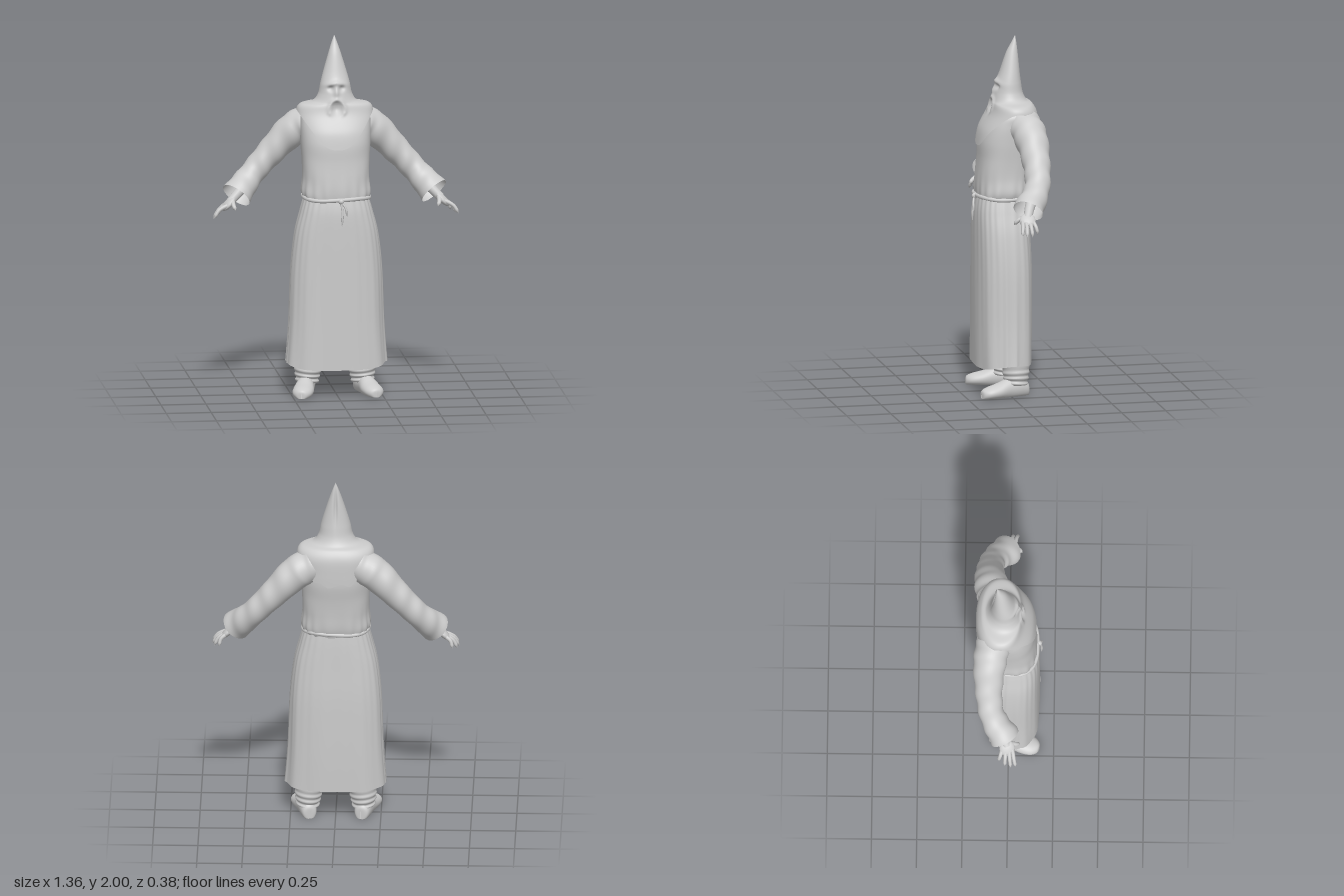
import * as THREE from 'three';
import { mergeVertices } from 'three/addons/utils/BufferGeometryUtils.js';

const material = new THREE.MeshStandardMaterial({ color: 0xcccccc, side: THREE.DoubleSide });
const TAU = Math.PI * 2;
const bump = (d, w) => Math.exp(-(d * d) / (w * w));
const V = (p) => new THREE.Vector3(...p);

function mesh(name, geometry) {
  const m = new THREE.Mesh(geometry, material);
  m.name = name;
  return m;
}

// Smooth grid surface: u runs around, v runs along; fn returns [x, y, z]
function surface(name, nu, nv, fn) {
  const pos = [], index = [];
  for (let j = 0; j <= nv; j++)
    for (let i = 0; i <= nu; i++) pos.push(...fn((i % nu) / nu, j / nv));
  for (let j = 0; j < nv; j++)
    for (let i = 0; i < nu; i++) {
      const a = j * (nu + 1) + i, b = a + nu + 1;
      index.push(a, a + 1, b + 1, a, b + 1, b);
    }
  let g = new THREE.BufferGeometry();
  g.setAttribute('position', new THREE.Float32BufferAttribute(pos, 3));
  g.setIndex(index);
  g = mergeVertices(g, 1e-5);
  g.computeVertexNormals();
  return mesh(name, g);
}

// Smooth interpolation through rows of numbers, t in 0..1
function sample(rows, t) {
  const n = rows.length - 1, f = Math.min(Math.max(t, 0), 1) * n;
  const i = Math.min(Math.floor(f), n - 1), k = f - i;
  const at = (q) => rows[Math.min(Math.max(q, 0), n)];
  return rows[0].map((_, c) => {
    const [a, b, d, e] = [at(i - 1)[c], at(i)[c], at(i + 1)[c], at(i + 2)[c]];
    return b + 0.5 * k * (d - a + k * (2 * a - 5 * b + 4 * d - e + k * (3 * (b - d) + e - a)));
  });
}

// Rounded cross-section of a row [y, halfWidth, front, back]
function section([y, hw, zf, zb], th, p = 2) {
  const s = Math.sin(th), c = Math.cos(th), e = 2 / p;
  return [hw * Math.sign(s) * Math.abs(s) ** e, y,
    (zf + zb) / 2 + ((zf - zb) / 2) * Math.sign(c) * Math.abs(c) ** e];
}

// Round limb along a path with changing radius and optional wrinkles
function limb(name, points, radii, nu, nv, wrinkle = () => 0) {
  const curve = new THREE.CatmullRomCurve3(points.map(V));
  const frames = curve.computeFrenetFrames(nv);
  const rows = radii.map((r) => [r]);
  return surface(name, nu, nv, (u, v) => {
    const j = Math.round(v * nv), a = u * TAU;
    const r = Math.max(sample(rows, v)[0], 0.0005) + wrinkle(a, v);
    return curve.getPoint(v)
      .addScaledVector(frames.normals[j], r * Math.cos(a))
      .addScaledVector(frames.binormals[j], r * Math.sin(a)).toArray();
  });
}

function makeSkirt() {
  const rows = [[0.165, 0.275, 0.17, -0.135], [0.4, 0.26, 0.17, -0.14], [0.7, 0.25, 0.17, -0.14],
    [0.9, 0.23, 0.17, -0.132], [1.03, 0.2, 0.167, -0.126], [1.11, 0.178, 0.155, -0.12]];
  return surface('skirt', 144, 50, (u, v) => {
    const th = u * TAU, [x, y, z] = section(sample(rows, v), th, 2.7);
    const side = Math.abs(Math.sin(th));
    // soft folds, gathers at the waist and a raised seam at each side
    const k = 1 + 0.012 * (1 - v) * Math.sin(th * 9 + v * 2) + 0.01 * v * Math.sin(th * 26)
      + 0.03 * bump(Math.acos(Math.min(side, 1)) - 0.1, 0.05) * (1 - v);
    const hem = (1 - v) ** 8 * (0.02 * side ** 4 - 0.01 * Math.cos(th));
    return [x * k, y + hem, z * k];
  });
}

function makeTorso() {
  const rows = [[1.09, 0.178, 0.152, -0.12], [1.14, 0.19, 0.158, -0.135], [1.22, 0.186, 0.152, -0.14],
    [1.32, 0.186, 0.145, -0.152], [1.42, 0.194, 0.138, -0.165], [1.52, 0.195, 0.11, -0.165],
    [1.58, 0.185, 0.07, -0.155], [1.61, 0.11, 0.05, -0.12]];
  return surface('tunic', 120, 50, (u, v) => {
    const th = u * TAU, [x, y, z] = section(sample(rows, v), th, 2.6);
    const k = 1 + 0.016 * bump(v - 0.1, 0.16) * Math.sin(th * 17 + Math.sin(th * 3))
      + 0.008 * Math.sin(v * 22 + 2 * Math.cos(th * 2)) * (1 - v);
    return [x * k, y, z * k];
  });
}

// Pointed hood flowing into a shoulder cape, with a draped face
function makeHood() {
  const rows = [[1.38, 0.2, 0.155, -0.18], [1.48, 0.208, 0.135, -0.182], [1.57, 0.215, 0.087, -0.178],
    [1.62, 0.195, 0.072, -0.155], [1.64, 0.125, 0.068, -0.125], [1.68, 0.095, 0.058, -0.105],
    [1.74, 0.082, 0.045, -0.095], [1.8, 0.066, 0.022, -0.088], [1.9, 0.036, -0.012, -0.08],
    [1.96, 0.016, -0.043, -0.074], [2, 0.0005, -0.064, -0.066]];
  return surface('hood', 120, 110, (u, v) => {
    const th = u * TAU, s = Math.abs(Math.sin(th)), c = Math.cos(th);
    // lower edge: pointed in front, raised on the shoulders, ragged behind
    const edge = c > 0 ? 0.015 + 0.215 * s ** 1.7
      : 0.05 + 0.18 * s ** 3 + 0.012 * Math.sin(th * 14) * (1 - s);
    const t = edge + (1 - edge) * v;
    let [x, y, z] = section(sample(rows, t), th, 2 + 0.6 * Math.max(0, 1 - t / 0.4));
    if (c > 0) {
      const ax = Math.abs(x), mouth = Math.hypot(x / 0.034, (y - 1.605) / 0.042);
      z += c * (0.011 * bump(y - 1.75 + ax * 0.25, 0.014) * bump(ax, 0.07)
        - 0.014 * bump(ax - 0.032, 0.018) * bump(y - 1.718, 0.015)
        + 0.012 * bump(x, 0.014) * bump(y - 1.695, 0.03)
        - 0.02 * bump(mouth, 0.8)
        + 0.01 * bump(mouth - 1.25, 0.3) * (y > 1.59 ? 1 : bump(y - 1.59, 0.02)));
    } else {
      // crease down the back of the peak
      z += 0.012 * bump(x, 0.01) * bump(y - 1.86, 0.1);
    }
    return [x, y, z];
  });
}

function makeArm() {
  const arm = new THREE.Group();
  arm.name = 'arm';
  arm.add(limb('sleeve',
    [[0.13, 1.52, -0.08], [0.22, 1.47, -0.1], [0.35, 1.34, -0.107], [0.46, 1.22, -0.085], [0.55, 1.12, -0.015]],
    [0.095, 0.093, 0.076, 0.07, 0.084], 40, 60,
    (a, v) => 0.0035 * Math.sin(v * 38 + 2 * Math.sin(a)) * Math.sin(a + 1)));
  arm.add(limb('wrist', [[0.47, 1.2, -0.07], [0.53, 1.14, -0.03], [0.585, 1.085, -0.005]],
    [0.035, 0.028, 0.024], 16, 10));
  const palm = mesh('palm', new THREE.SphereGeometry(1, 24, 16));
  palm.scale.set(0.05, 0.02, 0.044);
  palm.position.set(0.596, 1.075, -0.002);
  palm.rotation.set(0, -0.15, -0.78);
  arm.add(palm);
  const tips = [[0.68, 1.002, 0.045], [0.682, 0.995, 0.018], [0.672, 0.995, -0.015], [0.645, 1.005, -0.05]];
  tips.forEach(([x, y, z], i) => {
    const base = [0.605, 1.07, 0.027 - i * 0.019];
    arm.add(limb('finger', [base, [(base[0] + x) / 2 + 0.009, (base[1] + y) / 2 + 0.009, (base[2] + z) / 2], [x, y, z]],
      [0.011, 0.0115, 0.011, 0.0105, 0.01, 0.009, 0], 10, 16));
  });
  arm.add(limb('thumb', [[0.575, 1.09, 0.015], [0.572, 1.072, 0.048], [0.562, 1.048, 0.068]],
    [0.015, 0.0135, 0.0125, 0.0115, 0.01, 0], 10, 14));
  return arm;
}

function makeLeg() {
  const leg = new THREE.Group();
  leg.name = 'leg';
  leg.add(limb('trouserLeg', [[0.155, 0.06, -0.035], [0.15, 0.15, -0.035], [0.135, 0.35, -0.02], [0.1, 0.65, 0]],
    [0.062, 0.073, 0.078, 0.08, 0.085], 32, 50,
    (a, v) => 0.005 * Math.max(0, 1 - v * 1.6) * Math.sin(v * 55 + Math.sin(a + 1))));
  // rows: distance along the foot, half width, height
  const rows = [[-0.1, 0.001, 0.05], [-0.092, 0.035, 0.075], [-0.05, 0.047, 0.105], [0.02, 0.049, 0.1],
    [0.09, 0.058, 0.075], [0.145, 0.053, 0.06], [0.178, 0.03, 0.045], [0.185, 0.001, 0.025]];
  const shoe = surface('shoe', 36, 40, (u, v) => {
    const [z, hw, h] = sample(rows, v), a = -u * TAU;
    return [Math.max(hw, 0.001) * Math.cos(a), Math.max(0, h * (0.42 + 0.58 * Math.sin(a))), z];
  });
  shoe.position.set(0.165, 0, -0.008);
  shoe.rotation.y = 0.25;
  leg.add(shoe);
  return leg;
}

function makeBelt() {
  const belt = new THREE.Group();
  belt.name = 'belt';
  const ring = [];
  for (let i = 0; i < 40; i++) {
    const th = (i / 40) * TAU;
    ring.push(V(section([1.11 + 0.004 * Math.sin(th * 3), 0.183, 0.16, -0.125], th, 2.6)));
  }
  belt.add(mesh('rope', new THREE.TubeGeometry(new THREE.CatmullRomCurve3(ring, true), 160, 0.011, 8, true)));
  const knot = mesh('knot', new THREE.SphereGeometry(0.016, 14, 10));
  knot.position.set(0.012, 1.105, 0.168);
  belt.add(knot);
  const ends = [[[0.012, 1.105, 0.17], [0.018, 1.04, 0.18], [0.015, 0.97, 0.181]],
    [[0.012, 1.105, 0.17], [0.035, 1.07, 0.18], [0.045, 1.025, 0.18]]];
  for (const e of ends) belt.add(limb('ropeEnd', e, [0.006, 0.006, 0.006, 0.007, 0.003], 8, 14));
  return belt;
}

export function createModel() {
  const model = new THREE.Group();
  model.name = 'robedFigure';
  model.add(makeSkirt(), makeTorso(), makeHood(), makeBelt());
  for (const side of [1, -1]) {
    const limbs = new THREE.Group();
    limbs.name = side > 0 ? 'leftLimbs' : 'rightLimbs';
    limbs.add(makeArm(), makeLeg());
    limbs.scale.x = side;
    model.add(limbs);
  }
  return model;
}
